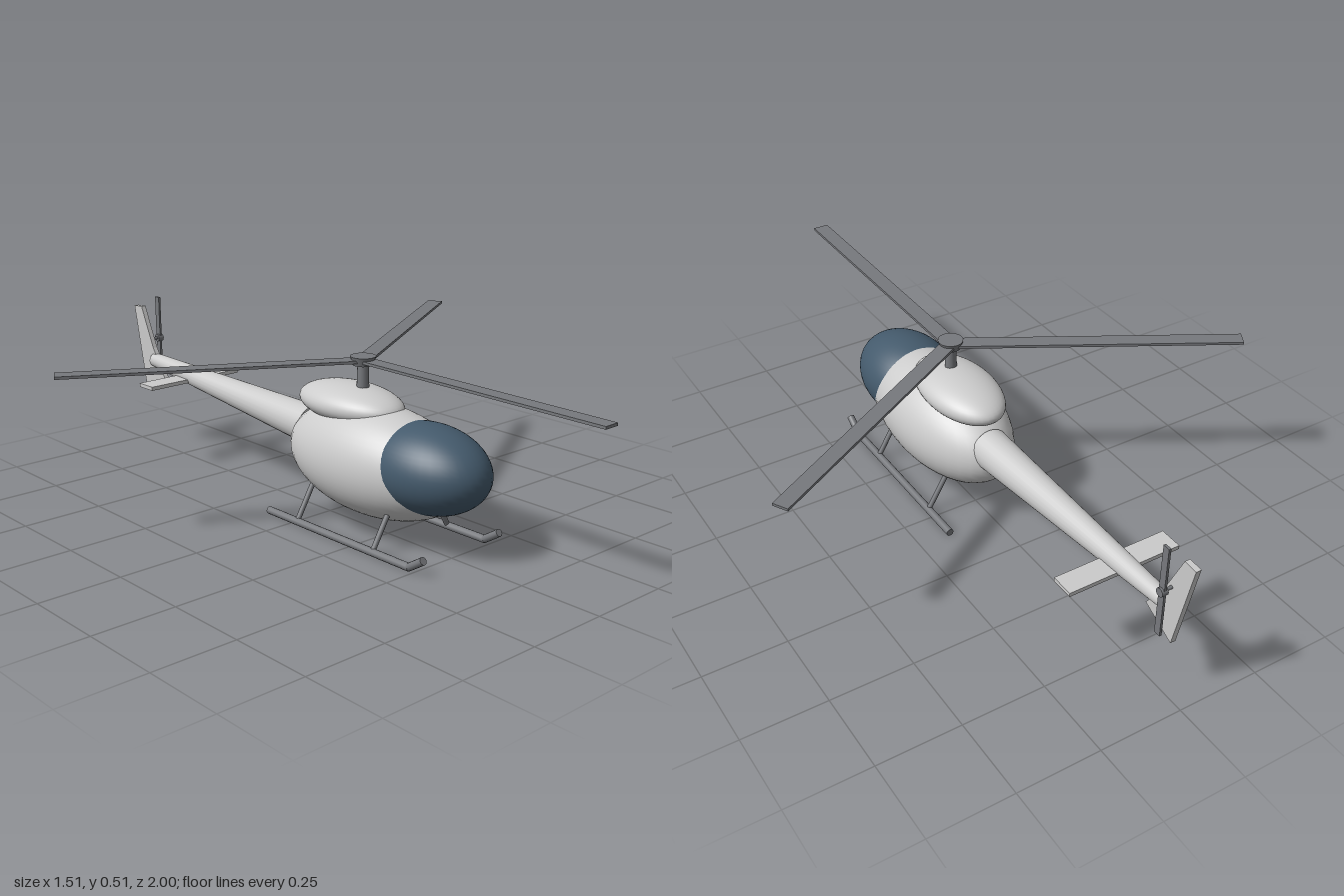
import * as THREE from 'three';

const shell = new THREE.MeshStandardMaterial({ color: 0xcccccc });
const glass = new THREE.MeshStandardMaterial({ color: 0x445a6c });
const metal = new THREE.MeshStandardMaterial({ color: 0x77797d });

export function createModel() {
  const model = new THREE.Group();
  model.name = 'helicopter';

  function add(name, geometry, material, x = 0, y = 0, z = 0, parent = model) {
    const mesh = new THREE.Mesh(geometry, material);
    mesh.name = name;
    mesh.position.set(x, y, z);
    parent.add(mesh);
    return mesh;
  }

  function ellipsoid(name, material, center, radii) {
    const geometry = new THREE.SphereGeometry(1, 40, 28).scale(...radii);
    return add(name, geometry, material, ...center);
  }

  // Round bar from point a (radius ra) to point b (radius rb)
  function bar(name, material, a, b, ra, rb = ra, sides = 12) {
    const from = new THREE.Vector3(...a), to = new THREE.Vector3(...b);
    const axis = to.clone().sub(from);
    const mesh = add(name, new THREE.CylinderGeometry(rb, ra, axis.length(), sides), material);
    mesh.position.copy(from).add(to).multiplyScalar(0.5);
    mesh.quaternion.setFromUnitVectors(new THREE.Vector3(0, 1, 0), axis.normalize());
    return mesh;
  }

  // Cabin, windshield and engine fairing
  ellipsoid('cabin', shell, [0, 0.215, 0.2], [0.163, 0.163, 0.33]);
  ellipsoid('windshield', glass, [0, 0.238, 0.4], [0.142, 0.127, 0.207]);
  ellipsoid('engineFairing', shell, [0, 0.362, 0.092], [0.109, 0.058, 0.192]);

  // Tail boom and horizontal stabilizer
  bar('tailBoom', shell, [0, 0.252, -0.08], [0, 0.302, -0.9], 0.061, 0.023, 24);
  add('stabilizer', new THREE.BoxGeometry(0.35, 0.012, 0.07), shell, 0, 0.276, -0.702);

  // Tail fin: side outline as (-z, y), extruded across x
  const outline = new THREE.Shape([
    [0.835, 0.25], [0.942, 0.195], [1.0, 0.477], [0.958, 0.48], [0.897, 0.345],
  ].map(([u, v]) => new THREE.Vector2(u, v)));
  const fin = new THREE.ExtrudeGeometry(outline, { depth: 0.016, bevelEnabled: false });
  add('tailFin', fin.translate(0, 0, -0.008).rotateY(Math.PI / 2), shell);

  // Tail rotor on the left side of the fin
  bar('tailRotorShaft', metal, [0, 0.37, -0.923], [0.034, 0.37, -0.923], 0.005);
  bar('tailRotorHub', metal, [0.027, 0.37, -0.923], [0.046, 0.37, -0.923], 0.013);
  add('tailRotorBlade', new THREE.BoxGeometry(0.007, 0.284, 0.021), metal, 0.036, 0.37, -0.923);

  // Mast and main rotor with three blades
  bar('mast', metal, [0, 0.39, 0.14], [0, 0.49, 0.14], 0.019, 0.016, 16);
  const rotor = new THREE.Group();
  rotor.name = 'mainRotor';
  rotor.position.set(0, 0.494, 0.14);
  model.add(rotor);
  add('rotorHub', new THREE.CylinderGeometry(0.038, 0.03, 0.026, 16), metal, 0, 0, 0, rotor);
  for (let i = 0; i < 3; i++) {
    const blade = new THREE.BoxGeometry(0.048, 0.008, 0.85).translate(0, 0, 0.435);
    add('rotorBlade', blade, metal, 0, 0, 0, rotor).rotation.y = (i * 2 * Math.PI) / 3;
  }

  // Landing skids with upturned front ends and slanted struts
  for (const side of [1, -1]) {
    const x = side * 0.152;
    bar('skid', metal, [x, 0.0115, -0.103], [x, 0.0115, 0.488], 0.0115);
    bar('skidTip', metal, [x, 0.0115, 0.484], [x, 0.046, 0.538], 0.0115);
    for (const z of [0.343, 0.025]) {
      bar('skidStrut', metal, [x, 0.012, z], [side * 0.085, 0.125, z], 0.008);
    }
  }

  return model;
}
